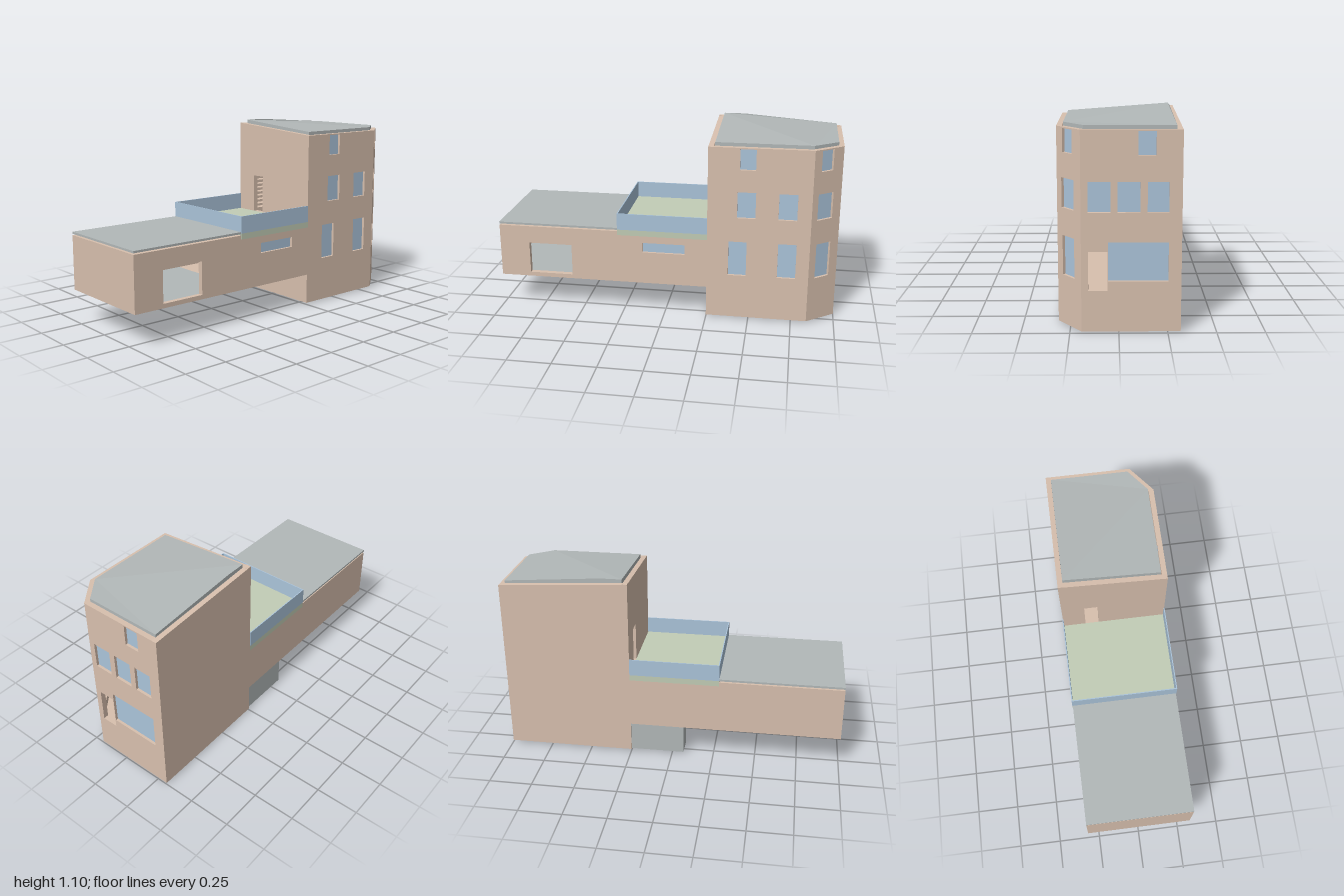
import * as THREE from 'three';

const material = (name, color) => {
  const m = new THREE.MeshStandardMaterial({ color });
  m.name = name;
  return m;
};

export function createModel() {
  const tan = material('tan wall', 0xd8c0ae);
  const grey = material('grey slab', 0xb2b8b8);
  const blue = material('blue glass', 0xabc4da);
  const green = material('green terrace', 0xc2cdb6);
  const model = new THREE.Group();
  const T = 0.03; // wall thickness

  const add = (name, geometry, mat, parent = model) => {
    const mesh = new THREE.Mesh(geometry, mat);
    mesh.name = name;
    parent.add(mesh);
    return mesh;
  };

  // Box given by its limits on each axis
  const box = (name, mat, x0, x1, y0, y1, z0, z1) =>
    add(name, new THREE.BoxGeometry(x1 - x0, y1 - y0, z1 - z0), mat)
      .position.set((x0 + x1) / 2, (y0 + y1) / 2, (z0 + z1) / 2);

  // Horizontal plate from [x, z] points
  const plate = (name, mat, points, y0, y1) => {
    const shape = new THREE.Shape(points.map(([x, z]) => new THREE.Vector2(x, -z)));
    const g = new THREE.ExtrudeGeometry(shape, { depth: y1 - y0, bevelEnabled: false });
    g.rotateX(-Math.PI / 2).translate(0, y0, 0);
    return add(name, g, mat);
  };

  // Wall from a to b with outside on the right-hand side of the walk;
  // openings are [u0, u1, y0, y1, open], glazed unless open is true
  const wall = (name, a, b, y0, ha, hb, openings = []) => {
    const dx = b[0] - a[0], dz = b[1] - a[1], len = Math.hypot(dx, dz);
    const group = new THREE.Group();
    group.name = name;
    group.position.set(a[0] + (dz / len) * T, 0, a[1] - (dx / len) * T);
    group.rotation.y = Math.atan2(-dz, dx);
    model.add(group);
    const shape = new THREE.Shape([[0, y0], [len, y0], [len, hb], [0, ha]]
      .map(p => new THREE.Vector2(...p)));
    for (const [u0, u1, v0, v1, open] of openings) {
      shape.holes.push(new THREE.Path([[u0, v0], [u0, v1], [u1, v1], [u1, v0]]
        .map(p => new THREE.Vector2(...p))));
      if (open) continue;
      add('windowPane', new THREE.BoxGeometry(u1 - u0, v1 - v0, 0.006), blue, group)
        .position.set((u0 + u1) / 2, (v0 + v1) / 2, 0.012);
    }
    add(name + 'Panel', new THREE.ExtrudeGeometry(shape, { depth: T, bevelEnabled: false }), tan, group);
  };

  // Tower walls, with one cut-off rear corner and a raised front left corner
  const X = 0.315, H = 1.043, HIGH = 1.085;
  const A = [-X, -0.25], B = [X, -0.25], C = [X, -0.84], D = [0.19, -1], E = [-X, -1];
  wall('towerFront', A, B, 0.01, HIGH, H, [[0.137, 0.22, 0.521, 0.753, true]]);
  wall('towerRight', B, C, 0.01, H, H, [
    [0.18, 0.27, 0.915, 1.036],
    [0.17, 0.275, 0.63, 0.785], [0.405, 0.51, 0.63, 0.785],
    [0.125, 0.23, 0.275, 0.485], [0.41, 0.515, 0.275, 0.485],
  ]);
  wall('towerCorner', C, D, 0.01, H, H, [
    [0.051, 0.133, 0.915, 1.036], [0.04, 0.146, 0.63, 0.785], [0.045, 0.146, 0.275, 0.485],
  ]);
  wall('towerBack', D, E, 0.01, H, H, [
    [0.285, 0.374, 0.915, 1.036],
    [0.035, 0.148, 0.63, 0.785], [0.184, 0.297, 0.63, 0.785], [0.332, 0.44, 0.63, 0.785],
    [0.035, 0.132, 0.225, 0.432, true], [0.136, 0.44, 0.275, 0.477],
  ]);
  wall('towerLeft', E, A, 0.01, H, HIGH);

  // Tower base, inner floor and roof
  const inset = [[-0.285, -0.285], [0.28, -0.285], [0.28, -0.835], [0.175, -0.97], [-0.285, -0.97]];
  plate('towerBase', grey, inset, 0, 0.015);
  plate('towerFloor', tan, inset, 0.205, 0.224);
  const roof = plate('towerRoof', grey, [...inset, [-0.2855, -0.41]], 1.03, 1.062);
  const p = roof.geometry.attributes.position;
  for (let i = 0; i < p.count; i++) {
    // lift the front left corner
    if (p.getX(i) < -0.2 && p.getZ(i) > -0.5) p.setY(i, p.getY(i) + 0.042);
  }
  roof.geometry.computeVertexNormals();

  // Terrace door recess with stair treads at its side
  box('doorBack', green, -0.24, -0.04, 0.5, 0.78, -0.42, -0.41);
  box('stairSide', tan, -0.24, -0.23, 0.5, 0.78, -0.41, -0.28);
  for (let i = 0; i < 9; i++) {
    const y = 0.53 + i * 0.026;
    box('stairTread', tan, -0.23, -0.181, y, y + 0.008, -0.41, -0.281);
  }

  // Long wing on the front of the tower
  wall('wingFront', [-X, 1], [X, 1], 0.19, 0.51, 0.51);
  wall('wingRight', [X, 1], B, 0.19, 0.51, 0.51, [
    [0.18, 0.44, 0.215, 0.405, true], [0.87, 1.12, 0.385, 0.445],
  ]);
  wall('wingLeft', A, [-X, 1], 0.19, 0.51, 0.51);
  box('wingFloor', grey, -0.285, 0.285, 0.192, 0.21, 0.28, 0.97);
  box('wingUnderside', tan, -0.285, 0.285, 0.19, 0.21, -0.25, 0.28);
  box('wingRoof', grey, -X, X, 0.518, 0.53, 0.28, 1);

  // Terrace and its glass parapet
  const W = 0.318, G = 0.006;
  box('terraceFloor', green, -W, W, 0.487, 0.521, -0.25, 0.279);
  box('parapetFront', blue, -W, W, 0.521, 0.62, 0.28 - G, 0.28);
  for (const [name, x] of [['parapetLeft', W - G], ['parapetRight', -W]]) {
    box(name, blue, x, x + G, 0.521, 0.62, -0.25, 0.28 - G);
  }

  // Open-bottomed entrance enclosure below the wing
  box('entranceInnerSide', grey, -0.193, -0.185, 0.012, 0.19, -0.25, 0.07);
  box('entranceOuterSide', grey, -0.305, -0.297, 0.012, 0.19, -0.25, 0.07);
  box('entranceFront', grey, -0.297, -0.193, 0.012, 0.19, 0.062, 0.07);

  return model;
}
